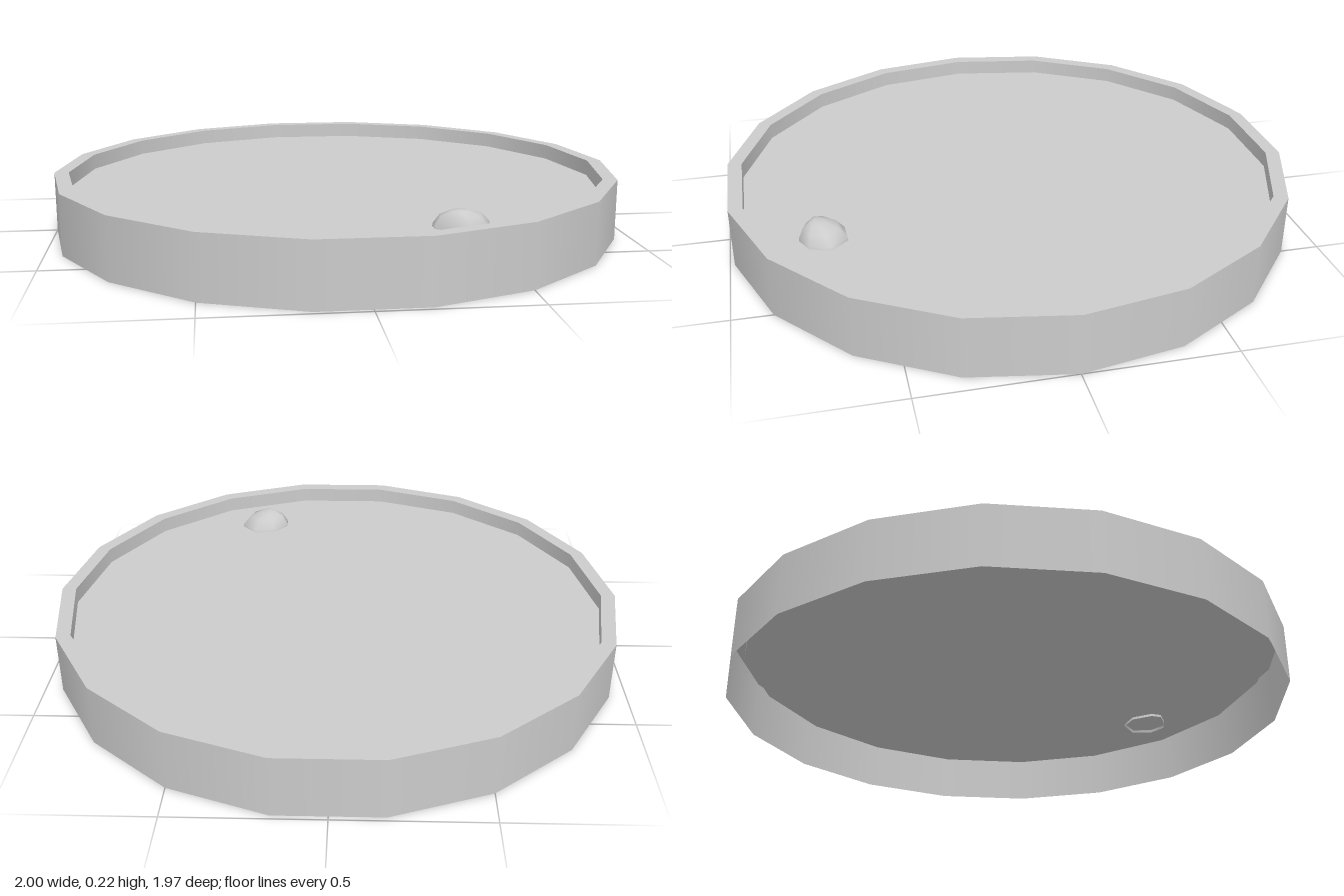
import * as THREE from 'three';
import { mergeVertices } from 'three/addons/utils/BufferGeometryUtils.js';

const SIDES = 18;
const material = new THREE.MeshStandardMaterial({ color: 0xcccccc, side: THREE.DoubleSide });

// One band of the dish, swept round the y axis from (r0, y0) to (r1, y1)
function band(name, r0, y0, r1, y1) {
  const profile = [new THREE.Vector2(r0, y0), new THREE.Vector2(r1, y1)];
  const mesh = new THREE.Mesh(new THREE.LatheGeometry(profile, SIDES, Math.PI / 2), material);
  mesh.name = name;
  return mesh;
}

// Irregular pebble: its outline shrinks towards an off-centre peak
function pebble() {
  const outline = [
    [0.225, 0.67], [0.28, 0.61], [0.355, 0.605], [0.41, 0.665],
    [0.385, 0.735], [0.325, 0.765], [0.275, 0.745], [0.225, 0.71],
  ];
  const peak = [0.3, 0.71];
  const rings = [[1, 0.145], [0.97, 0.165], [0.72, 0.195], [0.33, 0.21], [0, 0.215]]; // scale, y
  const n = outline.length;
  const positions = [];
  const indices = [];
  rings.forEach(([s, y], i) => {
    outline.forEach(([x, z], j) => {
      positions.push(peak[0] + (x - peak[0]) * s, y, peak[1] + (z - peak[1]) * s);
      if (i === 0) return;
      const k = (j + 1) % n;
      const a = (i - 1) * n + j, b = (i - 1) * n + k, c = i * n + j, d = i * n + k;
      indices.push(b, a, c);
      if (s > 0) indices.push(b, c, d);
    });
  });
  let geometry = new THREE.BufferGeometry();
  geometry.setAttribute('position', new THREE.Float32BufferAttribute(positions, 3));
  geometry.setIndex(indices);
  geometry = mergeVertices(geometry);
  geometry.computeVertexNormals();
  const mesh = new THREE.Mesh(geometry, material);
  mesh.name = 'pebble';
  return mesh;
}

export function createModel() {
  const model = new THREE.Group();
  model.name = 'dish';
  // Open-bottomed dish with a raised rim and a recessed floor
  model.add(
    band('outerWall', 1, 0, 1, 0.21),
    band('rim', 1, 0.21, 0.95, 0.21),
    band('innerWall', 0.95, 0.21, 0.95, 0.155),
    band('floor', 0.95, 0.155, 0, 0.155),
    pebble(),
  );
  return model;
}
